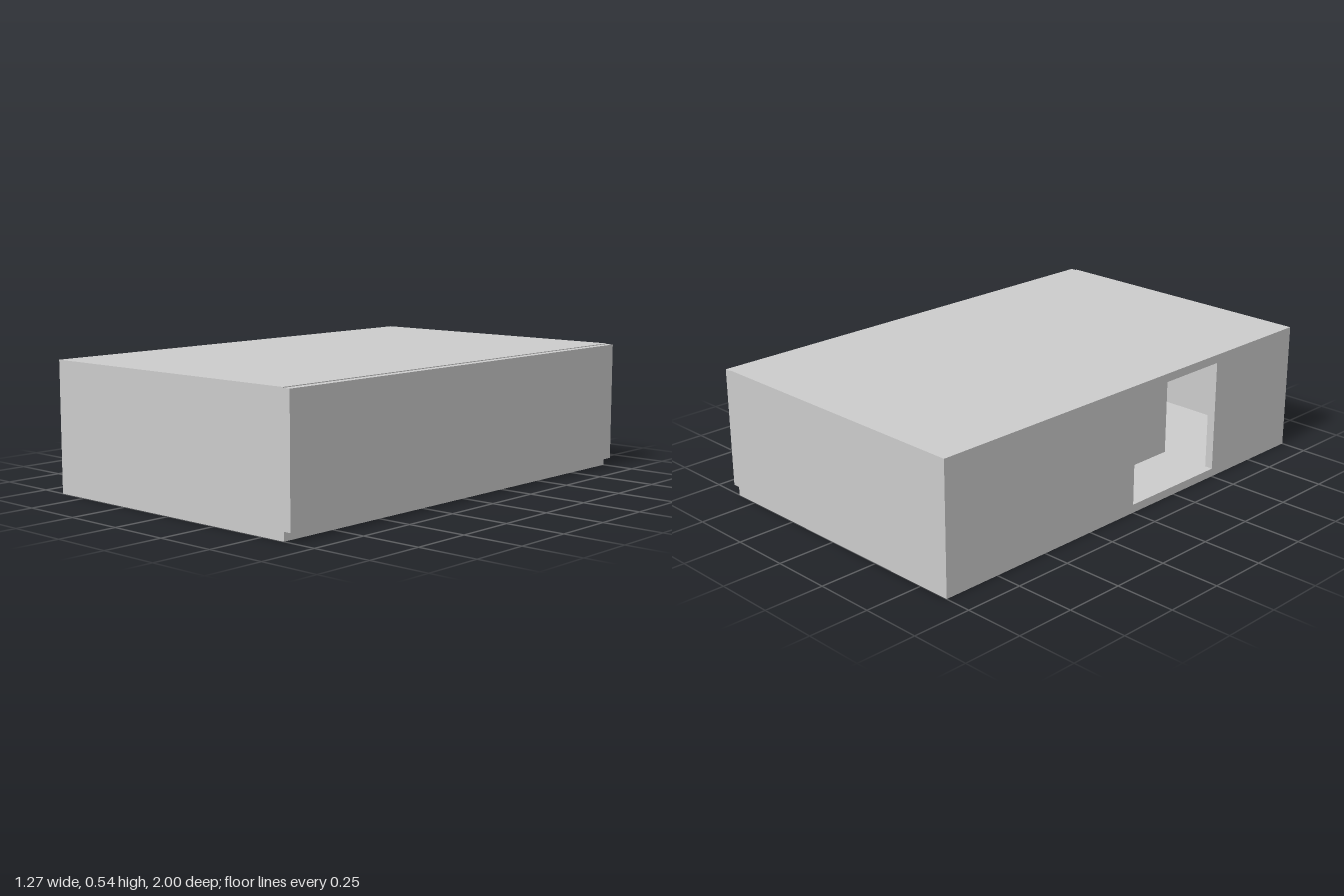
import * as THREE from 'three';

export function createModel() {
  const group = new THREE.Group();
  const material = new THREE.MeshStandardMaterial({ color: 0xcccccc, flatShading: true });

  // Box given by its limits on each axis
  function slab(name, [x0, x1], [y0, y1], [z0, z1]) {
    const mesh = new THREE.Mesh(new THREE.BoxGeometry(x1 - x0, y1 - y0, z1 - z0), material);
    mesh.name = name;
    mesh.position.set((x0 + x1) / 2, (y0 + y1) / 2, (z0 + z1) / 2);
    group.add(mesh);
  }

  const t = 0.035;              // panel thickness
  const height = 0.538;
  const outer = -0.637;         // face of the doorway wall
  const inner = 0.605;          // inner face of the closed side wall
  const room = [t, height - t]; // between floor and roof

  // Floor and roof
  slab('floor', [outer, inner], [0, t], [-1, 1]);
  slab('roof', [outer, inner], [height - t, height], [-1, 1]);

  // Closed side wall, fixed outside the edges of floor and roof
  slab('closedSideWall', [inner, 0.637], [t, 0.535], [-1, 1]);

  // Doorway wall, in two panels either side of a full-height opening
  slab('doorwayWallBack', [outer, outer + t], room, [-1, 0]);
  slab('doorwayWallFront', [outer, outer + t], room, [0.5, 1]);

  // End walls between the two side walls
  slab('frontWall', [outer + t, inner], room, [1 - t, 1]);
  slab('backWall', [outer + t, inner], room, [-1, -1 + t]);

  // Screen wall standing inside the doorway
  slab('screenWall', [-0.383, -0.383 + t], room, [0, 0.5]);

  return group;
}
